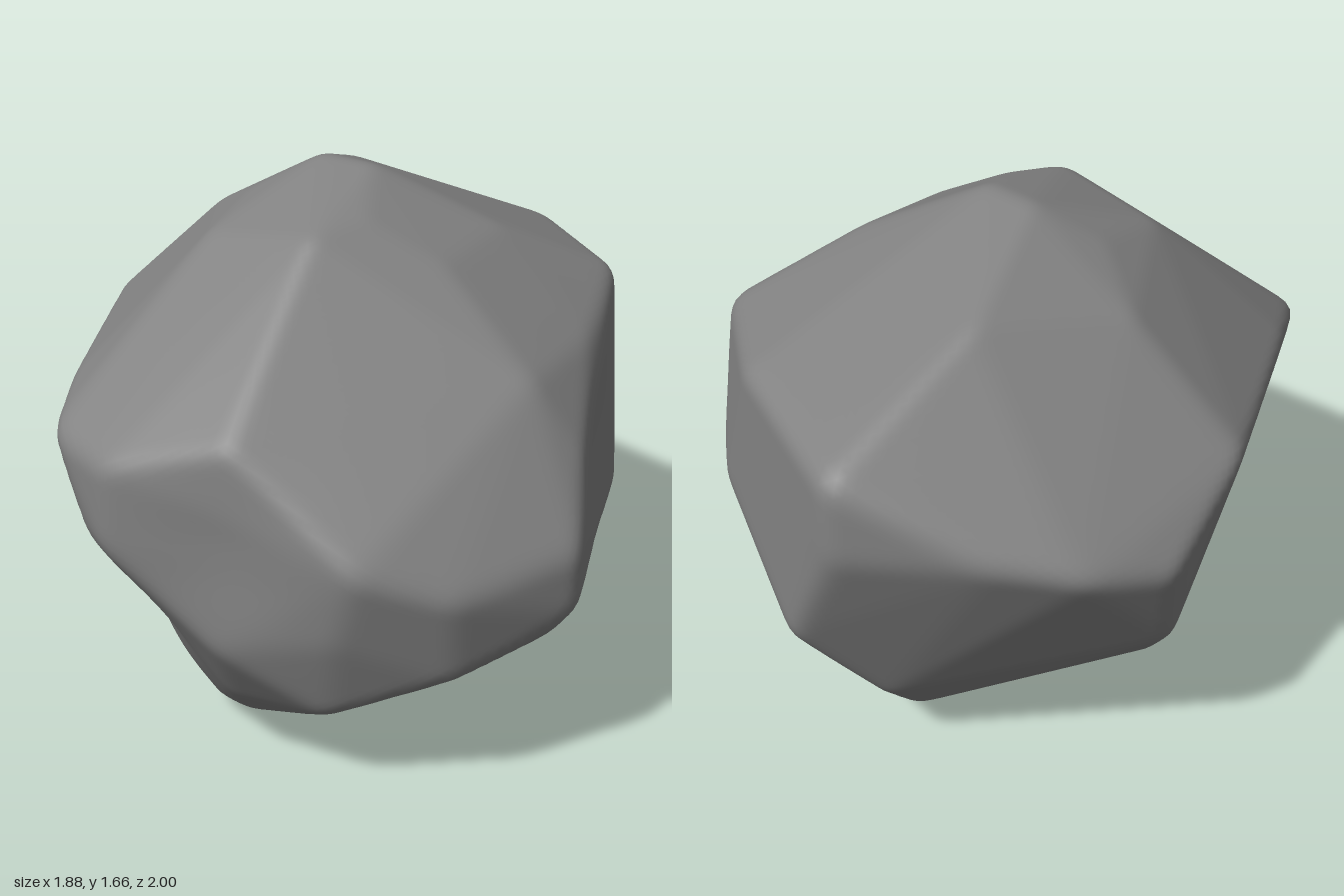
import * as THREE from 'three';
import { ConvexGeometry } from 'three/addons/geometries/ConvexGeometry.js';
import { mergeVertices } from 'three/addons/utils/BufferGeometryUtils.js';

// Corners where the broad facets of the boulder meet
const CORNERS = [
  // crown
  [-0.13, 1.665, -0.02], [0.05, 1.66, -0.02], [-0.3, 1.56, 0.1], [-0.25, 1.5, 0.38],
  [0.12, 1.55, 0.38], [0.18, 1.57, 0.2], [0.38, 1.475, -0.22], [0.4, 1.45, 0.13],
  [-0.53, 1.45, -0.02], [-0.33, 1.53, -0.45],
  // front
  [0.2, 1.1, 0.89], [-0.15, 1.0, 1.005], [-0.4, 1.03, 0.925], [0.58, 0.8, 0.83],
  [0.5, 0.57, 0.82], [0.16, 0.48, 0.91], [-0.16, 0.75, 1.005], [-0.28, 0.75, 0.94],
  [-0.38, 0.33, 0.53],
  // left flank
  [-0.53, 1.08, 0.7], [-0.875, 1.12, 0.07], [-0.95, 0.93, -0.3], [-0.86, 0.6, -0.19],
  [-0.57, 0.21, 0.1],
  // right flank
  [0.72, 1.18, 0.16], [0.7, 1.2, -0.2], [0.58, 1.29, -0.57], [0.86, 0.97, 0.1],
  [0.95, 0.75, 0.26], [0.945, 0.57, 0.26], [0.61, 0.57, -0.59], [0.55, 0.86, -0.66],
  [0.77, 0.7, 0.645],
  // back
  [-0.33, 1.29, -1.01], [-0.33, 1.03, -1.005], [-0.69, 1.05, -0.75], [-0.86, 1.0, -0.56],
  [0.2, 1.32, -0.83], [0.38, 0.86, -0.79], [-0.1, 0.62, -0.965], [0.35, 0.43, -0.69],
  // underside
  [-0.17, -0.008, 0.0], [-0.15, 0.035, 0.5], [-0.1, 0.055, -0.5], [-0.2, 0.29, -0.7],
  [0.88, 0.49, 0.3], [0.74, 0.42, 0.58], [0.43, 0.28, 0.74], [0.08, 0.24, 0.74],
  [0.04, 0.095, 0.59],
];
// Shallow scoops worn into some facets: centre, radius, depth
const SCOOPS = [
  { at: [-0.24, 0.5, 0.76], radius: 0.2, depth: 0.045 },
  { at: [0.2, 0.8, 0.93], radius: 0.22, depth: 0.025 },
  { at: [0.8, 0.85, -0.2], radius: 0.25, depth: 0.02 },
];
const CENTRE = new THREE.Vector3(0, 0.83, 0);
const ROUNDING = 0.06;

// Facet planes of the hull, each as normal / distance from the centre
function facetPlanes() {
  const points = CORNERS.map(c => new THREE.Vector3(...c).sub(CENTRE));
  const pos = new ConvexGeometry(points).attributes.position;
  const planes = [];
  for (let i = 0; i < pos.count; i += 3) {
    const [a, b, c] = [0, 1, 2].map(k => new THREE.Vector3().fromBufferAttribute(pos, i + k));
    const n = b.sub(a).cross(c.sub(a));
    if (n.length() < 1e-6) continue;
    n.normalize();
    planes.push(n.divideScalar(n.dot(a)));
  }
  return planes;
}

// Evenly spread offsets in mirrored pairs, used to soften the edges
function softeningOffsets(count) {
  const offsets = [];
  for (let i = 0; i < count; i++) {
    const y = 1 - (i + 0.5) / count;
    const r = Math.sqrt(1 - y * y), t = i * 2.39996;
    const size = ROUNDING * (0.4 + 0.6 * ((i * 0.618) % 1));
    const v = new THREE.Vector3(Math.cos(t) * r, y, Math.sin(t) * r).multiplyScalar(size);
    offsets.push(v, v.clone().negate());
  }
  return offsets;
}

function boulderGeometry() {
  const planes = facetPlanes(), offsets = softeningOffsets(20);
  const scoops = SCOOPS.map(s => ({ ...s, at: new THREE.Vector3(...s.at).sub(CENTRE) }));
  let geo = new THREE.IcosahedronGeometry(1, 44);
  geo.deleteAttribute('normal');
  geo.deleteAttribute('uv');
  geo = mergeVertices(geo, 1e-5);
  const pos = geo.attributes.position;
  const dir = new THREE.Vector3(), probe = new THREE.Vector3();
  // Push each direction out to the softened hull, then press in the scoops
  for (let i = 0; i < pos.count; i++) {
    dir.fromBufferAttribute(pos, i).normalize();
    let sum = 0;
    for (const o of offsets) {
      probe.copy(dir).add(o);
      let g = 0;
      for (const p of planes) g = Math.max(g, p.dot(probe));
      sum += g;
    }
    const reach = offsets.length / sum;
    probe.copy(dir).multiplyScalar(reach);
    let dent = 0;
    for (const s of scoops) dent += s.depth * Math.exp(-probe.distanceToSquared(s.at) / s.radius ** 2);
    dir.multiplyScalar(reach - dent);
    pos.setXYZ(i, dir.x, dir.y, dir.z);
  }
  // Stand it on the ground
  geo.computeBoundingBox();
  geo.translate(0, -geo.boundingBox.min.y, 0);
  geo.computeVertexNormals();
  return geo;
}

export function createModel() {
  const group = new THREE.Group();
  group.name = 'rock';
  const boulder = new THREE.Mesh(boulderGeometry(), new THREE.MeshStandardMaterial({ color: 0x828282 }));
  boulder.name = 'boulder';
  group.add(boulder);
  return group;
}
